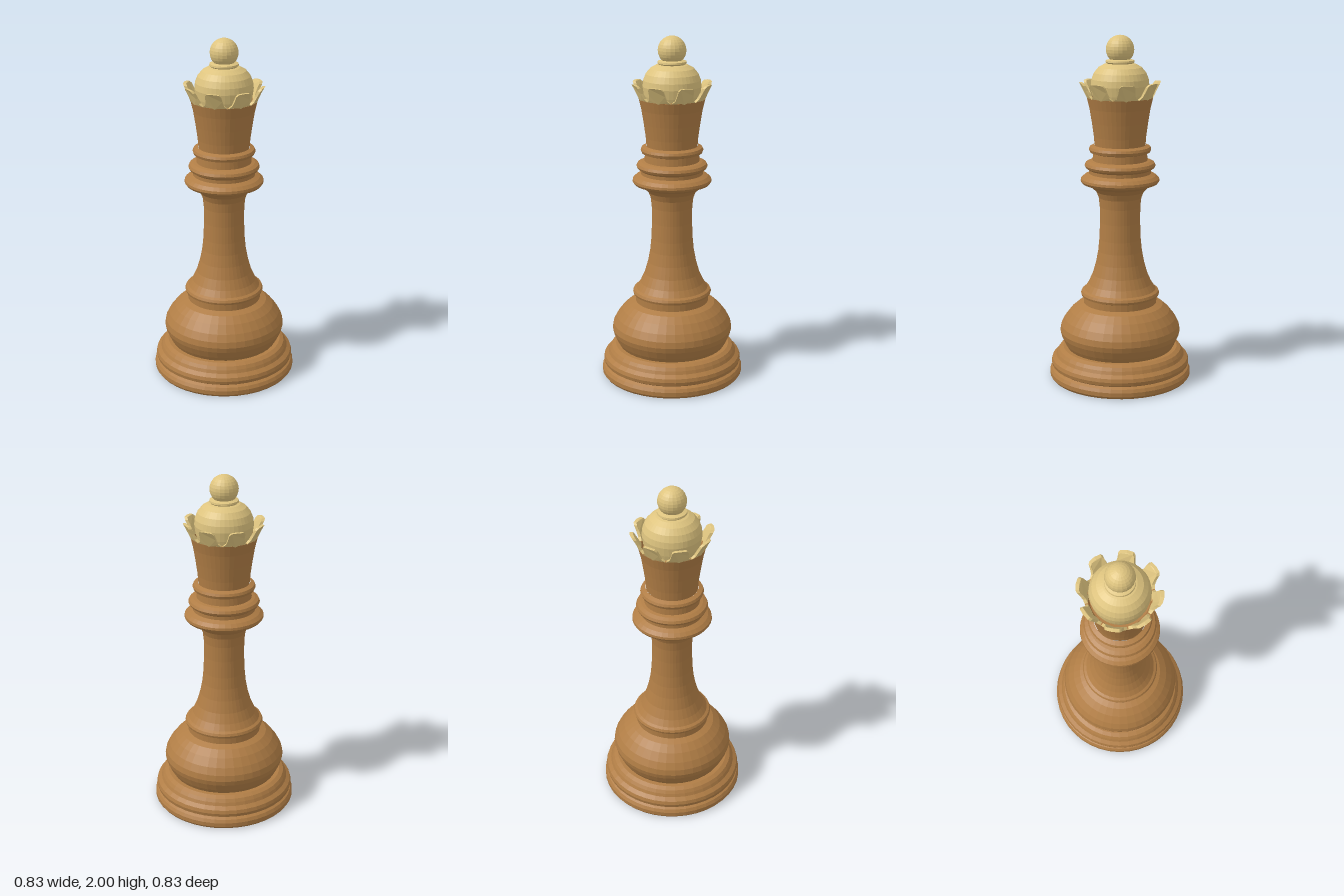
import * as THREE from 'three';

const SIDES = 40;
const wood = new THREE.MeshStandardMaterial({ color: 0xb07d45, flatShading: true });
const cream = new THREE.MeshStandardMaterial({ color: 0xdec47f, flatShading: true });

// Turned part from [radius, height] pairs, listed bottom to top
function turned(name, profile, material) {
  const points = profile.map(([r, y]) => new THREE.Vector2(r, y));
  const mesh = new THREE.Mesh(new THREE.LatheGeometry(points, SIDES), material);
  mesh.name = name;
  return mesh;
}

// Crown tooth: flared outline wrapped around the axis and leaning outward
function toothGeometry() {
  const outline = [
    [-0.076, 0], [0, -0.005], [0.076, 0], [0.054, 0.017], [0.045, 0.045], [0.04, 0.075],
    [0.03, 0.087], [0, 0.09], [-0.03, 0.087], [-0.04, 0.075], [-0.045, 0.045], [-0.054, 0.017],
  ];
  const shape = new THREE.Shape(outline.map(([x, y]) => new THREE.Vector2(x, y)));
  const geometry = new THREE.ExtrudeGeometry(shape, { depth: 0.018, bevelEnabled: false });
  const pos = geometry.attributes.position;
  for (let i = 0; i < pos.count; i++) {
    const x = pos.getX(i), y = pos.getY(i), z = pos.getZ(i);
    const angle = x / 0.195;
    const r = 0.17 + z + 0.38 * y + 1.2 * y * y;
    pos.setXYZ(i, r * Math.sin(angle), 1.65 + y, r * Math.cos(angle));
  }
  geometry.computeVertexNormals();
  return geometry;
}

export function createModel() {
  const model = new THREE.Group();
  model.name = 'chessQueen';

  // Stepped foot
  model.add(turned('base', [
    [0, 0], [0.405, 0], [0.415, 0.014], [0.415, 0.038], [0.405, 0.056], [0.388, 0.066],
    [0.402, 0.075], [0.406, 0.095], [0.4, 0.115], [0.378, 0.132], [0.37, 0.15],
    [0.358, 0.168], [0.335, 0.18], [0.3, 0.18],
  ], wood));

  // Rounded bulb
  model.add(turned('bulb', [
    [0.308, 0.176], [0.325, 0.205], [0.345, 0.25], [0.352, 0.28], [0.346, 0.315],
    [0.325, 0.355], [0.29, 0.4], [0.25, 0.435], [0.213, 0.45], [0.213, 0.49],
  ], wood));

  // Lower ring, slender stem and its flared top
  model.add(turned('stem', [
    [0.21, 0.488], [0.225, 0.494], [0.229, 0.507], [0.223, 0.521], [0.208, 0.53],
    [0.185, 0.565], [0.16, 0.62], [0.14, 0.69], [0.127, 0.76], [0.12, 0.83], [0.116, 0.93],
    [0.117, 1.02], [0.123, 1.075], [0.137, 1.11], [0.165, 1.138], [0.195, 1.152],
  ], wood));

  // Three collar rings
  model.add(turned('collar', [
    [0.193, 1.151], [0.216, 1.16], [0.226, 1.174], [0.224, 1.188], [0.205, 1.205],
    [0.178, 1.218], [0.178, 1.238], [0.196, 1.25], [0.203, 1.264], [0.196, 1.279],
    [0.175, 1.289], [0.157, 1.293], [0.154, 1.335], [0.172, 1.341], [0.178, 1.357],
    [0.172, 1.371], [0.148, 1.381],
  ], wood));

  // Flaring cup, closed inside below the dome
  model.add(turned('cup', [
    [0.145, 1.378], [0.149, 1.43], [0.16, 1.51], [0.173, 1.59], [0.188, 1.652],
    [0.17, 1.652], [0.16, 1.625], [0.1, 1.62],
  ], wood));

  // Ring of eight crown teeth
  const crown = new THREE.Group();
  crown.name = 'crown';
  const tooth = toothGeometry();
  for (let i = 0; i < 8; i++) {
    const mesh = new THREE.Mesh(tooth, cream);
    mesh.name = 'crownTooth';
    mesh.rotation.y = (i * Math.PI) / 4;
    crown.add(mesh);
  }
  model.add(crown);

  // Dome with a small neck ring
  model.add(turned('dome', [
    [0.145, 1.62], [0.158, 1.67], [0.165, 1.72], [0.161, 1.755], [0.147, 1.79],
    [0.122, 1.82], [0.09, 1.838], [0.074, 1.842], [0.082, 1.849], [0.08, 1.859],
    [0.055, 1.866], [0, 1.868],
  ], cream));

  // Ball finial
  const ball = new THREE.Mesh(new THREE.SphereGeometry(0.08, 20, 14), cream);
  ball.name = 'finial';
  ball.position.y = 1.92;
  model.add(ball);

  return model;
}
